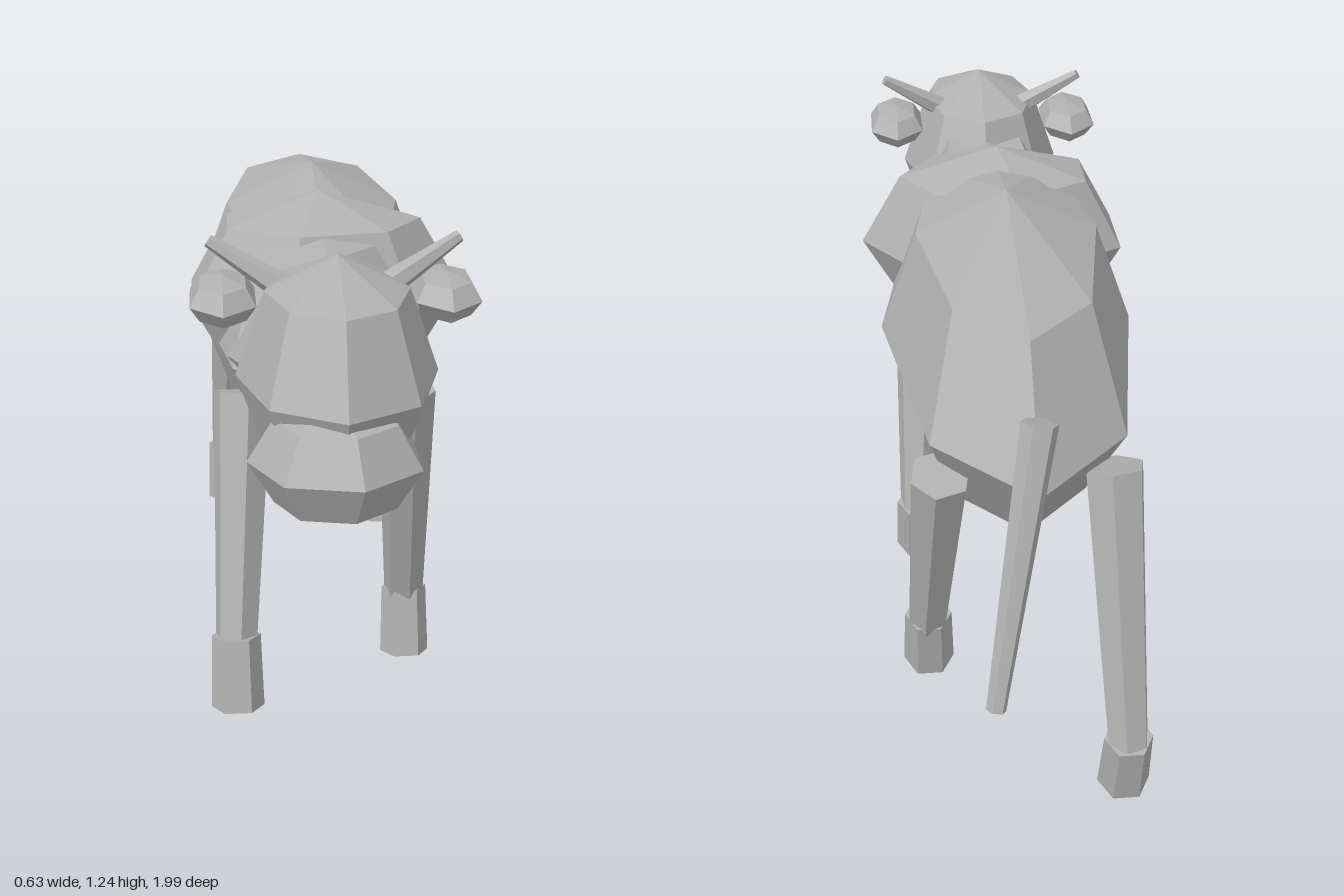
import * as THREE from 'three';

const CX = -0.017; // mid-plane of the animal

export function createModel() {
  const model = new THREE.Group();
  model.name = 'lowPolyBull';
  const hide = new THREE.MeshStandardMaterial({ color: 0xb0b0b0 });
  hide.name = 'greyHide';

  function add(name, geometry) {
    const flat = geometry.toNonIndexed();
    flat.computeVertexNormals();
    const mesh = new THREE.Mesh(flat, hide);
    mesh.name = name;
    model.add(mesh);
    return mesh;
  }

  // Faceted ellipsoid with four rows and a chosen number of sides
  function blob(name, sides, center, radii, turn = 0) {
    const g = new THREE.SphereGeometry(1, sides, 4);
    g.rotateY(turn).scale(...radii).translate(...center);
    return add(name, g);
  }

  // Tapered six-sided limb from point a to point b
  function limb(name, a, b, ra, rb) {
    const from = new THREE.Vector3(...a);
    const to = new THREE.Vector3(...b);
    const dir = to.clone().sub(from);
    const g = new THREE.CylinderGeometry(rb, ra, dir.length(), 6);
    g.rotateY(Math.PI / 2); // corners point sideways
    g.applyQuaternion(new THREE.Quaternion().setFromUnitVectors(
      new THREE.Vector3(0, 1, 0), dir.normalize()));
    g.translate(...from.add(to).multiplyScalar(0.5).toArray());
    return add(name, g);
  }

  // Trunk and head
  blob('body', 8, [CX, 0.887, -0.1], [0.295, 0.34, 0.72]);
  blob('shoulderHump', 7, [CX, 0.985, 0.16], [0.331, 0.238, 0.215], Math.PI);
  limb('neck', [CX, 0.9, 0.36], [CX, 0.96, 0.62], 0.22, 0.17);
  blob('head', 8, [CX, 0.976, 0.674], [0.207, 0.25, 0.276]);
  blob('muzzle', 7, [CX - 0.013, 0.86, 0.845], [0.178, 0.125, 0.158]);

  // Ears and horns
  for (const s of [1, -1]) {
    const side = s > 0 ? 'left' : 'right';
    blob(side + 'Ear', 6, [CX + s * 0.228, 1.115, 0.598], [0.077, 0.049, 0.128], Math.PI / 2);
    limb(side + 'Horn', [CX + s * 0.11, 1.145, 0.625], [CX + s * 0.255, 1.235, 0.595], 0.028, 0.013);
  }

  // Walking legs: diagonal pairs swing forward (raised) or back
  const legs = [
    ['leftFront', 1, 0.34, false],
    ['rightFront', -1, 0.34, true],
    ['leftRear', 1, -0.6, true],
    ['rightRear', -1, -0.6, false],
  ];
  for (const [name, s, z, forward] of legs) {
    const ankleY = forward ? 0.255 : 0.165;
    const ankleZ = z + (forward ? 0.175 : -0.185);
    const x = CX + s * 0.216;
    limb(name + 'Leg', [CX + s * 0.187, 0.805, z], [x, ankleY, ankleZ], 0.068, 0.049);
    limb(name + 'Hoof', [x, ankleY + 0.02, ankleZ],
      [x, ankleY - 0.147, ankleZ + 0.036], 0.056, 0.061);
  }

  // Tail swinging back and to one side
  limb('tail', [CX, 1.05, -0.79], [0.085, 0.48, -0.977], 0.039, 0.021);

  return model;
}
